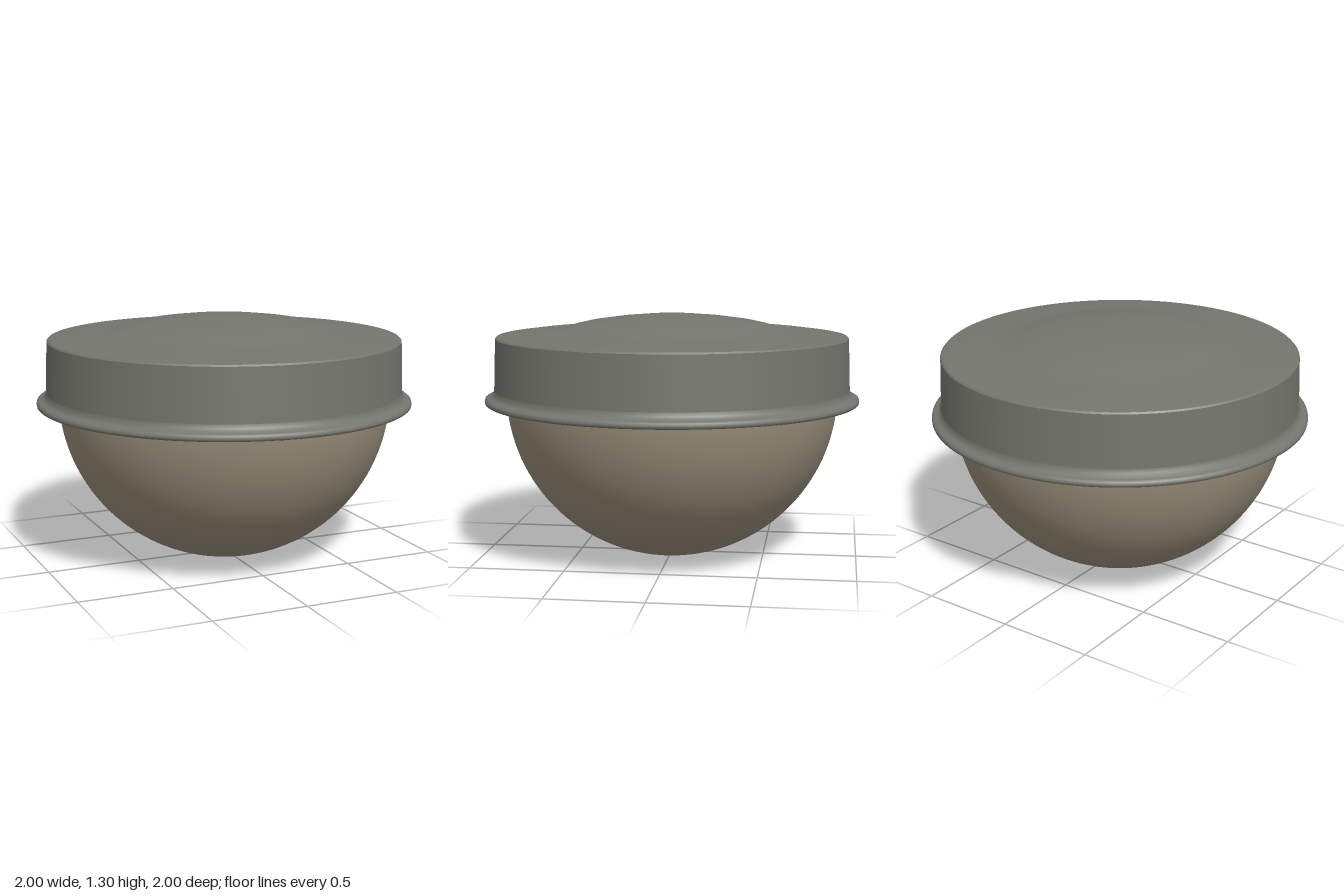
import * as THREE from 'three';

const SEGMENTS = 96;

// Revolves a profile of [radius, height] pairs, listed from bottom to top
function revolve(name, profile, material) {
  const points = profile.map(([r, y]) => new THREE.Vector2(r, y));
  const mesh = new THREE.Mesh(new THREE.LatheGeometry(points, SEGMENTS), material);
  mesh.name = name;
  return mesh;
}

export function createModel() {
  const model = new THREE.Group();
  model.name = 'domeLamp';

  const housingGrey = new THREE.MeshStandardMaterial({ color: 0x74766e });
  housingGrey.name = 'housing grey';
  const domeBeige = new THREE.MeshStandardMaterial({ color: 0x978c78 });
  domeBeige.name = 'dome beige';

  // Hemispherical cover hanging below the housing
  const R = 0.885;
  const domeProfile = [];
  for (let i = 0; i <= 32; i++) {
    const a = (i / 32) * Math.PI / 2;
    domeProfile.push([R * Math.sin(a), R - R * Math.cos(a)]);
  }
  model.add(revolve('dome', domeProfile, domeBeige));

  // Housing, one lathe per surface so the edges between them stay sharp
  const housing = new THREE.Group();
  housing.name = 'housing';
  housing.add(
    revolve('rimUnderside', [[0.86, 0.83], [0.99, 0.83]], housingGrey),
    revolve('rimEdge', [[0.99, 0.83], [0.998, 0.835], [1, 0.845], [0.997, 0.858], [0.985, 0.864]], housingGrey),
    revolve('rimFillet', [[0.985, 0.864], [0.965, 0.872], [0.953, 0.885], [0.949, 0.905]], housingGrey),
    revolve('sideWall', [[0.949, 0.905], [0.939, 1.175]], housingGrey),
    revolve('topBevel', [[0.939, 1.175], [0.932, 1.183]], housingGrey),
    // Shallow crown with a raised middle
    revolve('crown', [[0.932, 1.183], [0.82, 1.198], [0.7, 1.208], [0.6, 1.218], [0.52, 1.242],
      [0.44, 1.26], [0.3, 1.28], [0.15, 1.294], [0, 1.299]], housingGrey),
  );
  model.add(housing);
  return model;
}
